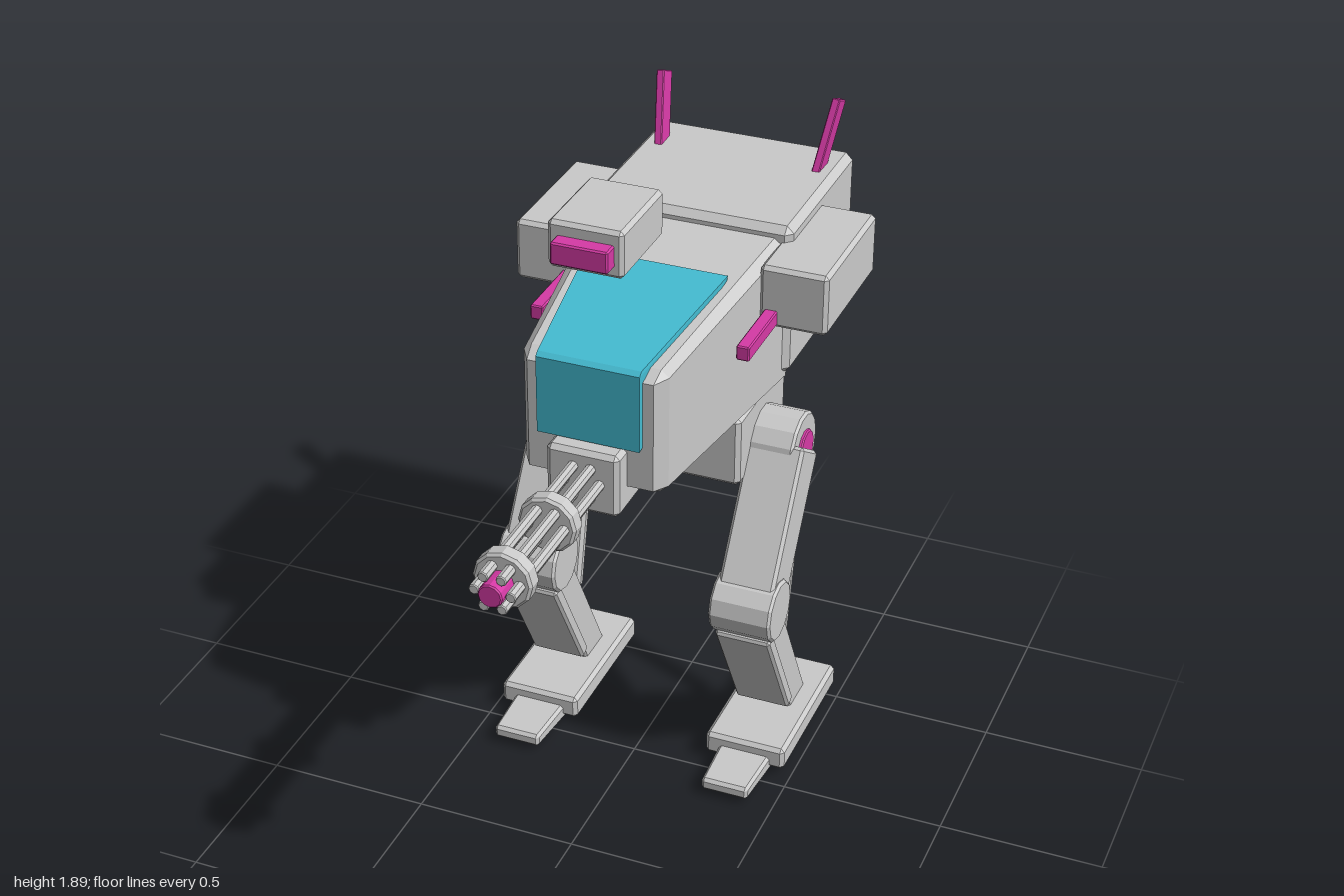
import * as THREE from 'three';
import { ConvexGeometry } from 'three/addons/geometries/ConvexGeometry.js';

const V = (x, y, z) => new THREE.Vector3(x, y, z);
const material = (name, color) => {
  const m = new THREE.MeshStandardMaterial({ color });
  m.name = name;
  return m;
};

// Box with every edge chamfered; warp may reshape each corner point
function chamferBox(w, h, d, b, warp = (p) => p) {
  const pts = [];
  for (const x of [-1, 1]) for (const y of [-1, 1]) for (const z of [-1, 1])
    for (const keep of [0, 1, 2]) {
      const inset = [b, b, b];
      inset[keep] = 0;
      pts.push(warp(V(x * (w / 2 - inset[0]), y * (h / 2 - inset[1]), z * (d / 2 - inset[2]))));
    }
  return new ConvexGeometry(pts);
}

// Faceted cylinder with chamfered rims, along y
function chamferCylinder(r, length, sides, b) {
  const h = length / 2;
  const profile = [[0, -h], [r - b, -h], [r, -h + b], [r, h - b], [r - b, h], [0, h]];
  const g = new THREE.LatheGeometry(profile.map(([x, y]) => new THREE.Vector2(x, y)), sides).toNonIndexed();
  g.computeVertexNormals();
  return g;
}

export function createModel() {
  const grey = material('armour grey', 0xcacaca);
  const magenta = material('accent magenta', 0xd63aa6);
  const cyan = material('canopy cyan', 0x44bcd2);
  const model = new THREE.Group();
  model.name = 'walker';

  const add = (parent, name, geometry, mat, x = 0, y = 0, z = 0) => {
    const mesh = new THREE.Mesh(geometry, mat);
    mesh.name = name;
    mesh.position.set(x, y, z);
    parent.add(mesh);
    return mesh;
  };
  // Box given by its limits on each axis
  const block = (parent, name, mat, [x0, x1], [y0, y1], [z0, z1], b) =>
    add(parent, name, chamferBox(x1 - x0, y1 - y0, z1 - z0, b), mat,
      (x0 + x1) / 2, (y0 + y1) / 2, (z0 + z1) / 2);
  // Beam or rod laid from point a to point c
  const span = (parent, name, mat, a, c, make) => {
    const dir = c.clone().sub(a);
    const mesh = add(parent, name, make(dir.length()), mat);
    mesh.position.copy(a).add(c).multiplyScalar(0.5);
    mesh.quaternion.setFromUnitVectors(V(0, 1, 0), dir.normalize());
    return mesh;
  };

  // Hull
  block(model, 'rearHull', grey, [-0.32, 0.32], [1.195, 1.685], [-1, -0.42], 0.022);
  const mix = THREE.MathUtils.lerp;
  add(model, 'cockpitHull', chamferBox(1, 1, 1, 0.055, (p) => {
    const t = p.z + 0.5;
    return V(p.x * mix(0.62, 0.425, t),
      mix(mix(1.152, 1.175, t), mix(1.66, 1.56, t), p.y + 0.5),
      mix(-0.5, 0.325, t));
  }), grey);

  // Canopy, wrapping from the nose onto the sloping roof
  const canopy = [];
  for (const s of [-1, 1]) canopy.push(
    V(s * 0.155, 1.325, 0.342), V(s * 0.155, 1.565, 0.342), V(s * 0.155, 1.577, 0.328),
    V(s * 0.217, 1.638, -0.172), V(s * 0.2, 1.55, -0.172), V(s * 0.15, 1.325, 0.3));
  add(model, 'canopy', new ConvexGeometry(canopy), cyan);

  // Sensor on the roof
  block(model, 'sensorBox', grey, [-0.28, -0.045], [1.64, 1.79], [-0.335, -0.025], 0.012);
  block(model, 'sensorLens', magenta, [-0.25, -0.072], [1.677, 1.747], [-0.04, 0.025], 0.005);

  // Rotary gun under the nose
  const gunY = 1.222;
  block(model, 'gunMount', grey, [-0.11, 0.11], [1.12, 1.32], [0.13, 0.388], 0.014);
  for (let i = 0; i < 6; i++) {
    const a = (i * Math.PI) / 3;
    const x = 0.053 * Math.cos(a), y = gunY + 0.053 * Math.sin(a);
    span(model, 'gunBarrel', grey, V(x, y, 0.37), V(x, y, 0.985), (l) => chamferCylinder(0.016, l, 8, 0.003));
  }
  for (const z of [0.607, 0.897])
    span(model, 'barrelRing', grey, V(0, gunY, z - 0.027), V(0, gunY, z + 0.027),
      (l) => chamferCylinder(0.087, l, 12, 0.008));
  span(model, 'gunTip', magenta, V(0, gunY, 0.92), V(0, gunY, 1), (l) => chamferCylinder(0.036, l, 12, 0.004));

  // Pelvis
  block(model, 'pelvis', grey, [-0.272, 0.272], [0.95, 1.18], [-0.55, -0.15], 0.014);

  for (const s of [-1, 1]) {
    const label = s > 0 ? 'left' : 'right';
    const cx = s * 0.348;
    const range = (a, b) => (s > 0 ? [a, b] : [-b, -a]);

    // Side pod, its gun rod and the rear antenna
    block(model, label + 'Pod', grey, range(0.28, 0.488), [1.447, 1.64], [-0.705, -0.26], 0.012);
    block(model, label + 'PodGun', magenta, range(0.298, 0.338), [1.457, 1.503], [-0.3, -0.027], 0.004);
    span(model, label + 'Antenna', magenta, V(s * 0.254, 1.665, -0.842), V(s * 0.283, 1.878, -0.934),
      (l) => chamferBox(0.025, l, 0.07, 0.003));

    // Leg
    const leg = new THREE.Group();
    leg.name = label + 'Leg';
    model.add(leg);
    const knee = V(cx, 0.608, -0.06);
    span(leg, 'hip', grey, V(s * 0.235, 1.005, -0.352), V(s * 0.405, 1.005, -0.352),
      (l) => chamferCylinder(0.115, l, 14, 0.008));
    span(leg, 'hipCap', magenta, V(s * 0.38, 1.005, -0.352), V(s * 0.416, 1.005, -0.352),
      (l) => chamferCylinder(0.06, l, 12, 0.004));
    span(leg, 'thigh', grey, knee, V(cx, 1.02, -0.328), (l) => chamferBox(0.175, l, 0.16, 0.01));
    span(leg, 'knee', grey, V(s * 0.25, knee.y, knee.z), V(s * 0.446, knee.y, knee.z),
      (l) => chamferCylinder(0.098, l, 12, 0.008));
    span(leg, 'shin', grey, V(cx, 0.06, -0.362), knee, (l) => chamferBox(0.138, l, 0.122, 0.008));
    span(leg, 'shinPlate', grey, V(cx, 0.152, -0.227), V(cx, 0.53, -0.016),
      (l) => chamferBox(0.175, l, 0.045, 0.008));
    span(leg, 'piston', grey, V(cx, 0.327, -0.337), V(cx, 0.74, -0.428),
      (l) => chamferCylinder(0.027, l, 10, 0.004));
    block(leg, 'foot', grey, [cx - 0.129, cx + 0.129], [0.02, 0.095], [-0.545, -0.047], 0.012);

    // Toe narrows and thins towards the front
    add(leg, 'toe', chamferBox(0.18, 0.06, 0.32, 0.01, (p) => {
      const t = THREE.MathUtils.clamp((p.z + 0.02) / 0.18, 0, 1);
      const lift = p.y < 0 ? 0.018 * ((p.z + 0.16) / 0.32) : 0;
      return V(p.x * (1 - 0.18 * t), p.y + lift, p.z);
    }), grey, cx, 0.03, -0.03);
  }
  return model;
}
